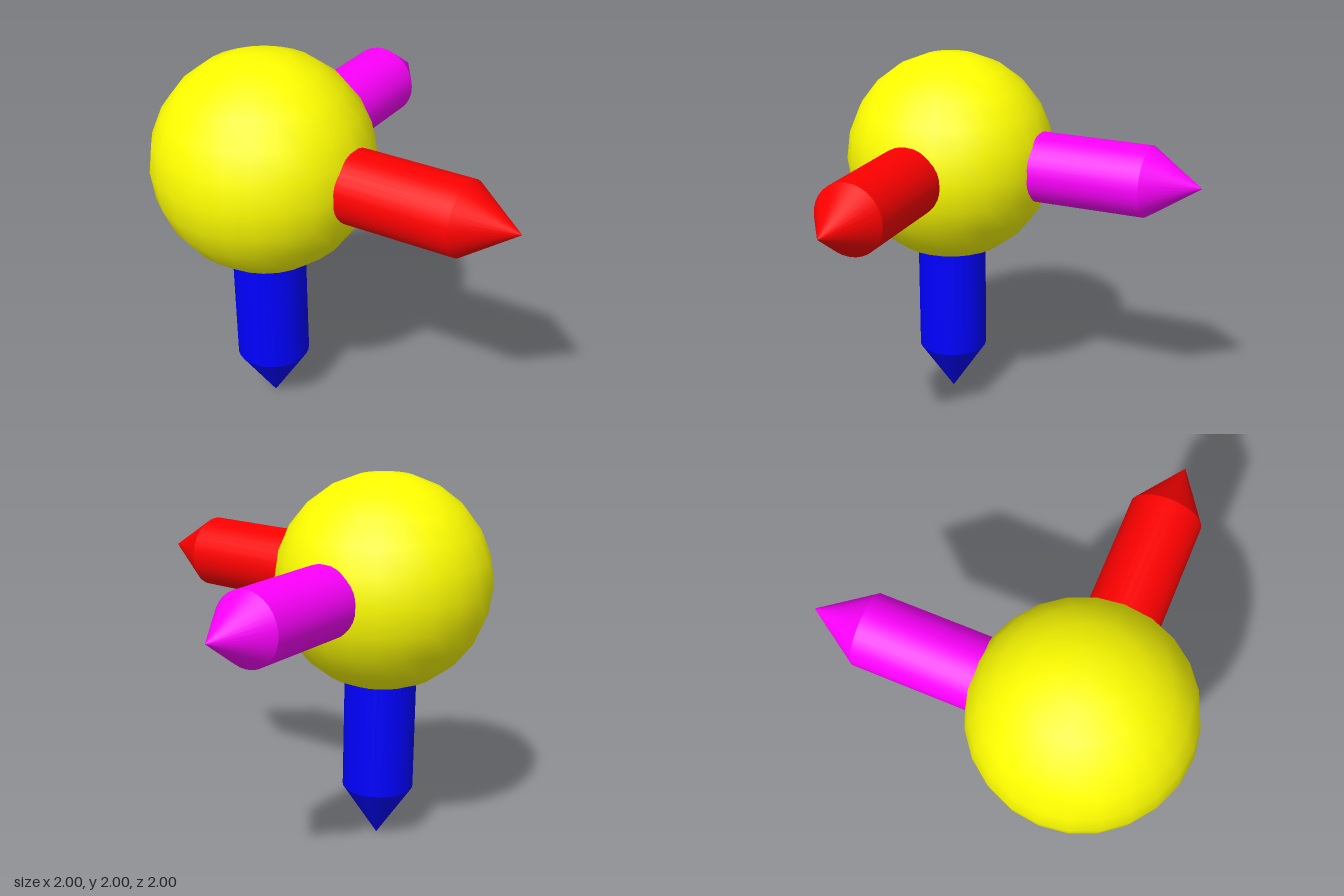
import * as THREE from 'three';

const R = 4 / 7;          // ball radius
const ARM_R = R / 3;      // arm radius
const SHAFT = 2 * R;      // ball centre to end of the straight shaft
const TIP = R / 2;        // length of the pointed tip

function mesh(name, geometry, color) {
  const m = new THREE.Mesh(geometry, new THREE.MeshStandardMaterial({ color }));
  m.name = name;
  return m;
}

// A pointed arm running from the ball centre along the given direction
function pointedArm(name, color, direction) {
  const arm = new THREE.Group();
  arm.name = name;
  const shaft = mesh('shaft', new THREE.CylinderGeometry(ARM_R, ARM_R, SHAFT, 32), color);
  shaft.position.y = SHAFT / 2;
  const tip = mesh('tip', new THREE.ConeGeometry(ARM_R, TIP, 32, 1, true), color);
  tip.position.y = SHAFT + TIP / 2;
  arm.add(shaft, tip);
  arm.quaternion.setFromUnitVectors(new THREE.Vector3(0, 1, 0), direction);
  return arm;
}

export function createModel() {
  const model = new THREE.Group();
  model.name = 'ballWithPointedArms';

  // Everything is placed around the ball centre
  const body = new THREE.Group();
  body.name = 'body';
  body.position.set(R - 1, 2 - R, 1 - R);
  body.add(mesh('ball', new THREE.SphereGeometry(R, 24, 12), 0xffff00));

  // Three arms at right angles: left, down and back
  body.add(pointedArm('leftArm', 0xff0000, new THREE.Vector3(1, 0, 0)));
  const down = pointedArm('lowerArm', 0x0000ff, new THREE.Vector3(0, 1, 0));
  down.rotation.set(Math.PI, 0, 0);
  body.add(down);
  body.add(pointedArm('backArm', 0xff00ff, new THREE.Vector3(0, 0, -1)));

  model.add(body);
  return model;
}
